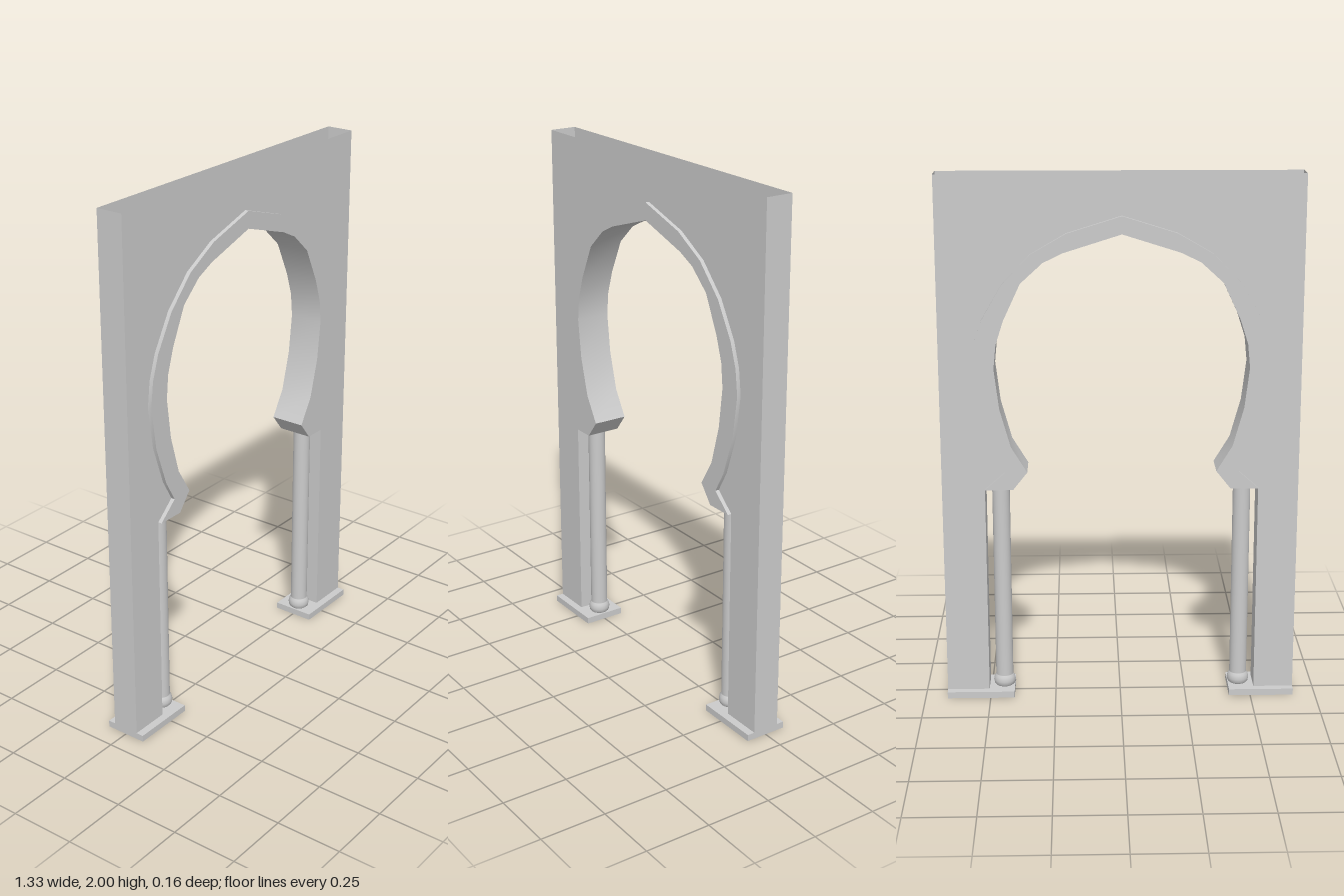
import * as THREE from 'three';
import { toCreasedNormals } from 'three/addons/utils/BufferGeometryUtils.js';

const CX = -0.005;           // centre line of the opening
const HALF = 0.665;          // half width of the wall
const WALL_Z = 0.052, TRIM_Z = 0.067, BASE_Z = 0.081;
const JAMB = 0.51, SPRING = 0.834, PLINTH = 0.025;

// Half profiles of the arch, from apex down to the foot of the trim
const OUTER = [[0, 1.852], [0.2, 1.79], [0.33, 1.715], [0.435, 1.605], [0.51, 1.475], [0.54, 1.385],
  [0.552, 1.29], [0.53, 1.13], [0.48, 0.98], [0.435, 0.9], [JAMB, SPRING]];
const INNER = [[0, 1.787], [0.213, 1.72], [0.285, 1.685], [0.367, 1.61], [0.43, 1.475], [0.459, 1.385],
  [0.468, 1.295], [0.45, 1.145], [0.41, 1.0], [0.351, 0.902], [0.405, SPRING]];

const material = new THREE.MeshStandardMaterial({ color: 0xcccccc, side: THREE.DoubleSide });

// Full left-to-right path from a half profile
function mirrored(half) {
  const right = half.map(([x, y]) => new THREE.Vector2(CX + x, y));
  const left = half.slice(1).reverse().map(([x, y]) => new THREE.Vector2(CX - x, y));
  return [...left, ...right];
}

function add(group, name, geometry) {
  const mesh = new THREE.Mesh(geometry, material);
  mesh.name = name;
  group.add(mesh);
  return mesh;
}

// Ribbon following a path in x/y, spanning z0 to z1
function ribbon(path, z0, z1) {
  const pos = [];
  for (let i = 0; i + 1 < path.length; i++) {
    const a = path[i], b = path[i + 1];
    pos.push(a.x, a.y, z0, a.x, a.y, z1, b.x, b.y, z1, a.x, a.y, z0, b.x, b.y, z1, b.x, b.y, z0);
  }
  const g = new THREE.BufferGeometry();
  g.setAttribute('position', new THREE.Float32BufferAttribute(pos, 3));
  g.computeVertexNormals();
  return toCreasedNormals(g, 0.55);
}

// Flat sheet facing +z or -z
function sheet(points, z) {
  const g = new THREE.ShapeGeometry(new THREE.Shape(points));
  if (z < 0) g.scale(-1, 1, 1).rotateY(Math.PI);
  return g.translate(0, 0, z);
}

export function createModel() {
  const model = new THREE.Group();
  const v = (x, y) => new THREE.Vector2(x, y);
  const outer = mirrored(OUTER), inner = mirrored(INNER);

  // Hollow wall, open at the top
  const wall = new THREE.Group();
  wall.name = 'wall';
  model.add(wall);
  const outline = [v(HALF, 0), v(HALF, 2), v(-HALF, 2), v(-HALF, 0), v(CX - JAMB, 0), ...outer, v(CX + JAMB, 0)];
  add(wall, 'wallFront', sheet(outline, WALL_Z));
  add(wall, 'wallBack', sheet(outline, -WALL_Z));
  for (const s of [-1, 1]) {
    const side = s < 0 ? 'right' : 'left';
    add(wall, side + 'WallEnd', ribbon(s > 0 ? [v(HALF, 0), v(HALF, 2)] : [v(-HALF, 2), v(-HALF, 0)], WALL_Z, -WALL_Z));
    const x = CX + s * JAMB;
    add(wall, side + 'Jamb', ribbon(s > 0 ? [v(x, SPRING), v(x, 0)] : [v(x, 0), v(x, SPRING)], WALL_Z, -WALL_Z));
  }

  // Raised arch moulding on both faces, with the underside of the arch
  const trim = new THREE.Group();
  trim.name = 'archTrim';
  model.add(trim);
  const band = [...outer, ...inner.slice().reverse()];
  add(trim, 'trimFront', sheet(band, TRIM_Z));
  add(trim, 'trimBack', sheet(band, -TRIM_Z));
  add(trim, 'trimEdgeFront', ribbon(outer, WALL_Z, TRIM_Z));
  add(trim, 'trimEdgeBack', ribbon(outer, -TRIM_Z, -WALL_Z));
  add(trim, 'archUnderside', ribbon([outer[0], ...inner, outer[outer.length - 1]], TRIM_Z, -TRIM_Z));

  for (const s of [-1, 1]) {
    const side = s < 0 ? 'right' : 'left';

    // Base plate: open below, with the hollow wall passing through its top
    const xi = CX + s * 0.413, xo = s * HALF, xj = CX + s * JAMB;
    const top = new THREE.Shape([v(xi, -BASE_Z), v(xo, -BASE_Z), v(xo, -WALL_Z), v(xj, -WALL_Z),
      v(xj, WALL_Z), v(xo, WALL_Z), v(xo, BASE_Z), v(xi, BASE_Z)]);
    const base = new THREE.Group();
    base.name = side + 'Base';
    model.add(base);
    add(base, side + 'BaseTop', new THREE.ShapeGeometry(top).rotateX(-Math.PI / 2).translate(0, PLINTH, 0));
    for (const z of [-BASE_Z, BASE_Z]) {
      const l = Math.min(xi, xo), r = Math.max(xi, xo);
      add(base, side + 'BaseSide', sheet([v(l, 0), v(r, 0), v(r, PLINTH), v(l, PLINTH)], z));
    }
    for (const x of [xi, xo]) {
      const path = x * s > 0.5 ? [v(x, 0), v(x, PLINTH)] : [v(x, PLINTH), v(x, 0)];
      if (s < 0) path.reverse();
      add(base, side + 'BaseEnd', ribbon(path, BASE_Z, -BASE_Z));
    }

    // Slim column with a rounded foot
    const profile = [[0.033, PLINTH], [0.039, 0.031], [0.042, 0.045], [0.039, 0.06], [0.033, 0.068],
      [0.033, 0.07], [0.033, SPRING]].map(([r, y]) => v(r, y));
    const column = add(model, side + 'Column', new THREE.LatheGeometry(profile, 24));
    column.position.x = CX + s * 0.453;
  }
  return model;
}
